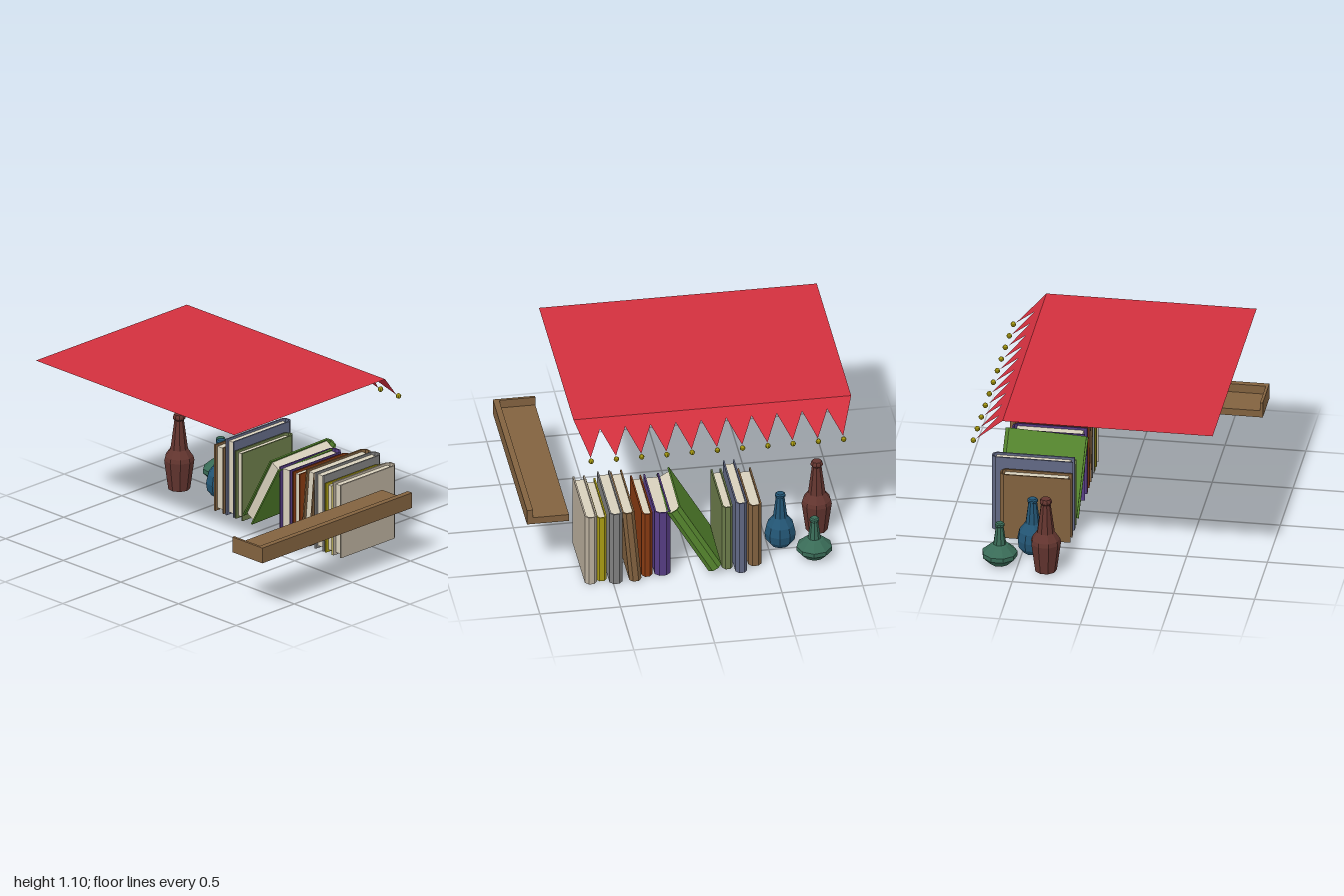
import * as THREE from 'three';

const mat = (color, extra = {}) => new THREE.MeshStandardMaterial({ color, flatShading: true, ...extra });

function add(parent, name, geometry, material, x = 0, y = 0, z = 0) {
  const mesh = new THREE.Mesh(geometry, material);
  mesh.name = name;
  mesh.position.set(x, y, z);
  parent.add(mesh);
  return mesh;
}

// Outline in plan (x, z) raised to a height along y
function raise(points, height) {
  const shape = new THREE.Shape(points.map(([x, y]) => new THREE.Vector2(x, y)));
  return new THREE.ExtrudeGeometry(shape, { depth: height, bevelEnabled: false }).rotateX(-Math.PI / 2);
}

// Flat cloth with a sloping, saw-toothed flap and a bead on each tip
function makeAwning() {
  const group = new THREE.Group();
  group.name = 'awning';
  const cloth = mat(0xd2303e, { side: THREE.DoubleSide });
  const z0 = -1, z1 = 0.72, teeth = 11, step = (z1 - z0) / teeth;
  const top = new THREE.PlaneGeometry(1.3, z1 - z0).rotateX(-Math.PI / 2);
  add(group, 'awningTop', top, cloth, -0.09, 1.1, (z0 + z1) / 2);

  // The flap is drawn as (z, drop) and then tilted 45 degrees outwards
  const flap = new THREE.Shape().moveTo(z0, 0);
  const beadGeo = new THREE.SphereGeometry(0.017, 8, 6);
  const beadMat = mat(0xa0930f);
  for (let i = 0; i < teeth; i++) {
    const z = z0 + (i + 0.5) * step;
    flap.lineTo(z, 0.175);
    if (i < teeth - 1) flap.lineTo(z + step / 2, 0.05);
    add(group, 'bead', beadGeo, beadMat, 0.753, 0.913, z);
  }
  flap.lineTo(z1, 0);
  const geo = new THREE.ShapeGeometry(flap);
  const p = geo.attributes.position;
  for (let i = 0; i < p.count; i++) p.setXYZ(i, 0.56 + p.getY(i), 1.1 - p.getY(i), p.getX(i));
  geo.computeVertexNormals();
  // Make the front side of the flap face outwards
  if (geo.attributes.normal.getX(0) < 0) {
    geo.index.array.reverse();
    geo.computeVertexNormals();
  }
  add(group, 'awningFlap', geo, cloth);
  return group;
}

// Floor with a raised front lip and one end wall
function makeShelf() {
  const group = new THREE.Group();
  group.name = 'shelf';
  const wood = mat(0x82623f);
  const box = (name, x0, x1, y0, y1, z0, z1) =>
    add(group, name, new THREE.BoxGeometry(x1 - x0, y1 - y0, z1 - z0), wood, (x0 + x1) / 2, (y0 + y1) / 2, (z0 + z1) / 2);
  box('shelfFloor', -0.775, 0.515, 0.345, 0.39, 0.74, 1);
  box('shelfLip', -0.775, 0.515, 0.39, 0.445, 0.963, 1);
  box('shelfEnd', -0.775, -0.758, 0.39, 0.445, 0.74, 0.963);
  return group;
}

// Cover wraps round a bevelled spine on +x, pages set in on the other edges
function makeBook({ z, t, h, color, tilt = 0, lean = 0 }) {
  const group = new THREE.Group();
  group.name = 'book';
  const d = h * 1.01, w = t / 2, c = 0.01, bevel = 0.025;
  const cover = [
    [0, -w], [d - bevel, -w], [d, -w * 0.45], [d, w * 0.45], [d - bevel, w], [0, w],
    [0, w - c], [d - bevel - c / 2, w - c], [d - c, w * 0.4], [d - c, -w * 0.4], [d - bevel - c / 2, c - w], [0, c - w],
  ];
  add(group, 'bookCover', raise(cover, h), mat(color));
  const pages = new THREE.BoxGeometry(d - bevel - 0.02, h - 0.03, t - 2 * c);
  add(group, 'bookPages', pages, mat(0xd8d0bc), (d - bevel + 0.02) / 2, h / 2, 0);
  group.position.set(0.23, w * Math.sin(tilt), z);
  group.rotation.set(tilt, 0, lean);
  return group;
}

// Faceted bottle from a (radius, height) profile
function makeBottle(name, color, x, z, profile) {
  const points = profile.map(([r, y]) => new THREE.Vector2(r, y));
  const mesh = new THREE.Mesh(new THREE.LatheGeometry(points, 9), mat(color));
  mesh.name = name;
  mesh.position.set(x, 0, z);
  return mesh;
}

export function createModel() {
  const model = new THREE.Group();
  model.name = 'stall';
  model.add(makeAwning(), makeShelf());

  const row = [
    { z: 0.633, t: 0.075, h: 0.48, color: 0xb9ae9c },
    { z: 0.564, t: 0.066, h: 0.455, color: 0xa99c14 },
    { z: 0.481, t: 0.08, h: 0.5, color: 0x808080 },
    { z: 0.36, t: 0.075, h: 0.495, color: 0x82623f, tilt: 0.09 },
    { z: 0.281, t: 0.066, h: 0.45, color: 0x873a12 },
    { z: 0.185, t: 0.096, h: 0.452, color: 0x573d85 },
    { z: -0.142, t: 0.09, h: 0.5, color: 0x55852e, tilt: 0.53, lean: 0.04 },
    { z: -0.217, t: 0.066, h: 0.445, color: 0x6c7c4a },
    { z: -0.295, t: 0.072, h: 0.5, color: 0x626985 },
    { z: -0.39, t: 0.082, h: 0.435, color: 0x82623f },
  ];
  const books = new THREE.Group();
  books.name = 'books';
  row.forEach((b) => books.add(makeBook(b)));
  model.add(books);

  model.add(
    makeBottle('roundBottle', 0x235574, 0.44, -0.58, [
      [0, 0.003], [0.06, 0.003], [0.09, 0.04], [0.097, 0.09], [0.085, 0.145], [0.045, 0.2],
      [0.027, 0.34], [0.033, 0.345], [0.033, 0.357], [0.024, 0.365], [0, 0.365],
    ]),
    makeBottle('squatBottle', 0x396b57, 0.615, -0.763, [
      [0, 0.003], [0.06, 0.003], [0.11, 0.052], [0.11, 0.08], [0.055, 0.128], [0.04, 0.135],
      [0.024, 0.25], [0.03, 0.256], [0.03, 0.27], [0.022, 0.278], [0, 0.278],
    ]),
    makeBottle('tallBottle', 0x63352f, 0.32, -0.826, [
      [0, 0.01], [0.068, 0.01], [0.094, 0.2], [0.088, 0.225], [0.055, 0.272],
      [0.03, 0.46], [0.038, 0.47], [0.038, 0.483], [0.03, 0.497], [0, 0.497],
    ]),
  );
  return model;
}
